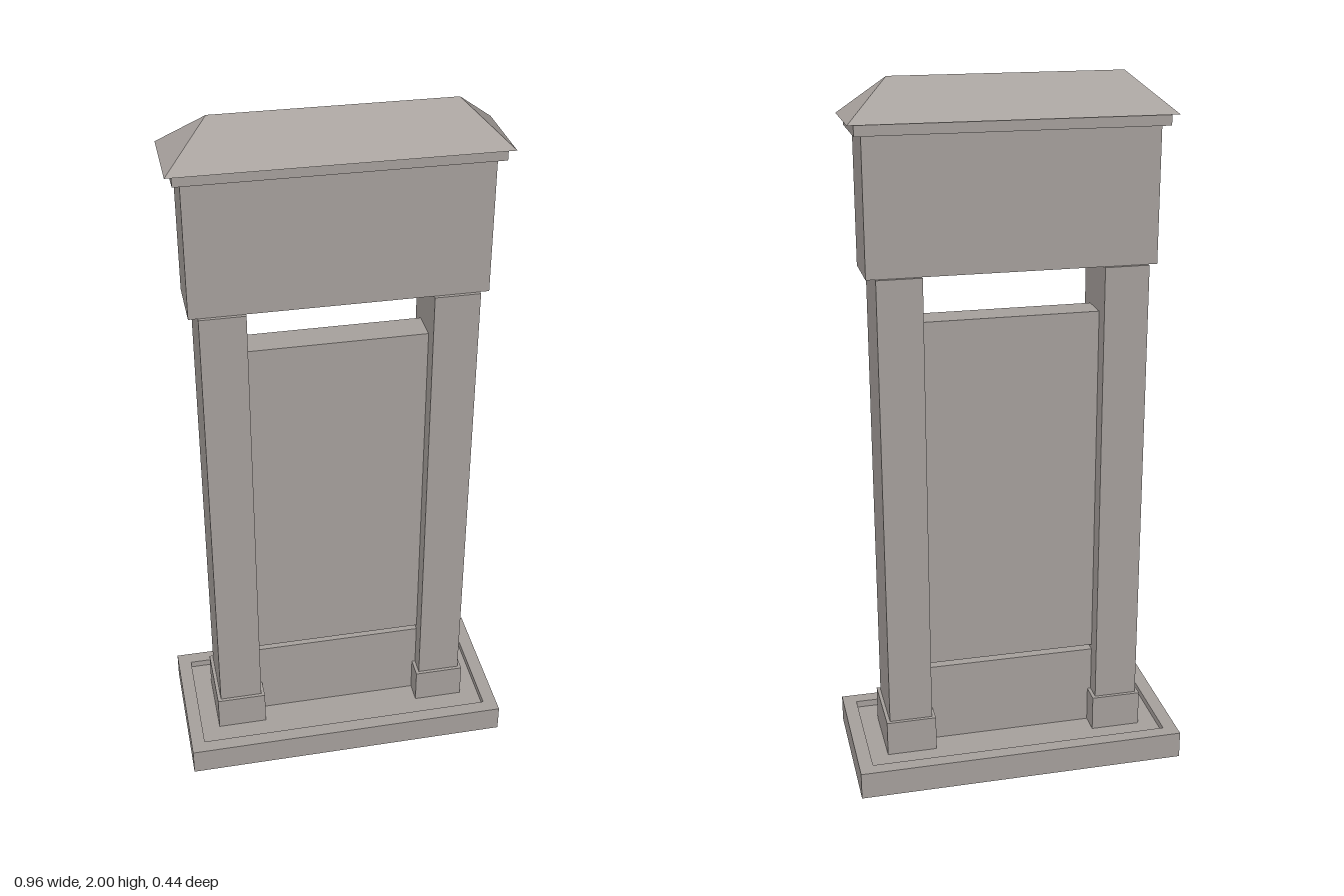
import * as THREE from 'three';

export function createModel() {
  const group = new THREE.Group();
  const stone = new THREE.MeshStandardMaterial({ color: 0xa8a29e });
  stone.name = 'stone';

  const add = (name, geometry) => {
    const mesh = new THREE.Mesh(geometry, stone);
    mesh.name = name;
    group.add(mesh);
    return mesh;
  };

  // Box from its width, depth, bottom and top heights
  const block = (name, width, depth, y0, y1, x = 0) => {
    const mesh = add(name, new THREE.BoxGeometry(width, y1 - y0, depth));
    mesh.position.set(x, (y0 + y1) / 2, 0);
    return mesh;
  };

  const rectangle = (path, w, d) => path
    .moveTo(-w / 2, -d / 2).lineTo(w / 2, -d / 2)
    .lineTo(w / 2, d / 2).lineTo(-w / 2, d / 2).closePath();

  // Base: raised rim around a floor slab recessed above and below
  const rim = new THREE.Shape();
  rectangle(rim, 0.96, 0.44);
  const opening = new THREE.Path();
  rectangle(opening, 0.88, 0.36);
  rim.holes.push(opening);
  const rimGeometry = new THREE.ExtrudeGeometry(rim, { depth: 0.08, bevelEnabled: false });
  rimGeometry.rotateX(-Math.PI / 2);
  add('baseRim', rimGeometry);
  block('baseFloor', 0.88, 0.36, 0.02, 0.06);

  // Pillars on plinths
  for (const [side, s] of [['left', 1], ['right', -1]]) {
    block(side + 'Plinth', 0.145, 0.21, 0.06, 0.165, s * 0.3125);
    block(side + 'Pillar', 0.125, 0.19, 0.165, 1.49, s * 0.3125);
  }

  // Panels between the pillars
  block('lowerPanel', 0.5, 0.09, 0.06, 0.3);
  block('mainPanel', 0.5, 0.09, 0.315, 1.355);

  // Header and cornice
  block('header', 0.8, 0.17, 1.49, 1.865);
  block('cornice', 0.84, 0.21, 1.865, 1.893);

  // Hipped roof: a thin box whose top corners are drawn in to a ridge
  const roof = new THREE.BoxGeometry(0.876, 0.105, 0.236).toNonIndexed();
  const p = roof.attributes.position;
  for (let i = 0; i < p.count; i++) {
    if (p.getY(i) > 0) p.setXYZ(i, Math.sign(p.getX(i)) * 0.318, p.getY(i), 0);
  }
  roof.computeVertexNormals();
  add('roof', roof).position.y = 1.9475;

  return group;
}
